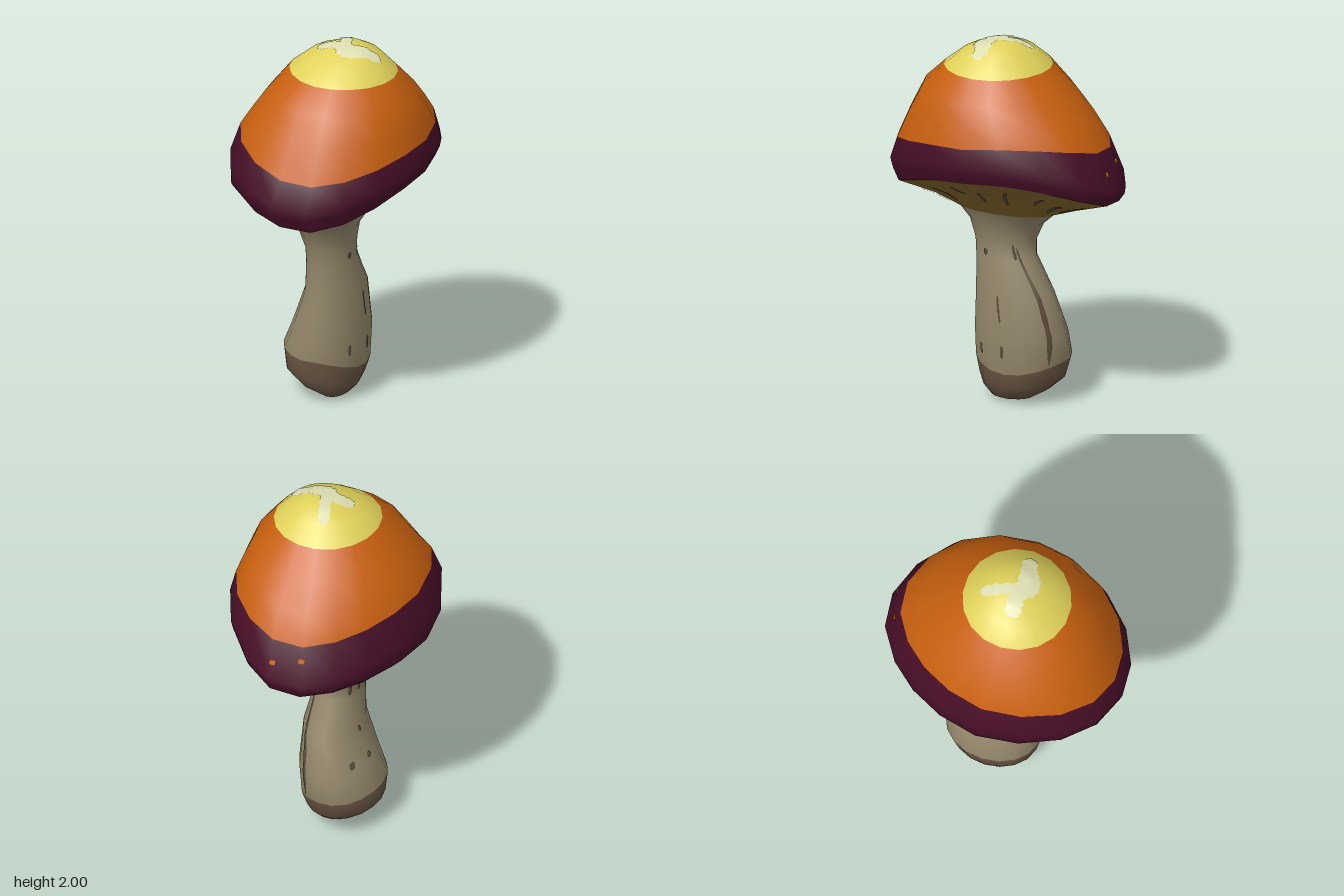
import * as THREE from 'three';
import { mergeVertices } from 'three/addons/utils/BufferGeometryUtils.js';

const mat = (name, color, side = THREE.FrontSide) => {
  const m = new THREE.MeshStandardMaterial({ color, side });
  m.name = name;
  return m;
};

const SIDES = 18;

// A ring lists reach and height towards +x, +z, -x, -z, then how far it follows the cap's lopsided rim.
function ringPoint([xp, yxp, zp, yzp, xm, yxm, zm, yzm, warp = 0], a) {
  const c = Math.cos(a), s = Math.sin(a), diag = Math.sin(2 * a);
  const bulge = diag < 0 ? (c < 0 ? 0.04 : 0) : (c < 0 ? -0.07 : -0.01);
  const k = 1 + warp * bulge * Math.abs(diag);
  const lift = warp * 0.045 * Math.max(0, -diag);
  const y = c * c * (c > 0 ? yxp : yxm) + s * s * (s > 0 ? yzp : yzm) + lift;
  return [(xp - xm) / 2 + (k * c * (xp + xm)) / 2, y, (zp - zm) / 2 + (k * s * (zp + zm)) / 2];
}

// Skin over rings from top to bottom; bands give [number of strips, material].
function loft(name, rings, bands) {
  const pos = [], index = [];
  for (const ring of rings)
    for (let j = 0; j < SIDES; j++) pos.push(...ringPoint(ring, (j / SIDES) * Math.PI * 2));
  for (let i = 0; i < rings.length - 1; i++)
    for (let j = 0; j < SIDES; j++) {
      const n = (j + 1) % SIDES;
      const a = i * SIDES + j, b = i * SIDES + n, c = a + SIDES, d = b + SIDES;
      index.push(a, b, c, b, d, c);
    }
  let geo = new THREE.BufferGeometry();
  geo.setAttribute('position', new THREE.Float32BufferAttribute(pos, 3));
  geo.setIndex(index);
  geo = mergeVertices(geo, 1e-5);
  geo.computeVertexNormals();
  let start = 0;
  bands.forEach(([strips], i) => {
    geo.addGroup(start, strips * SIDES * 6, i);
    start += strips * SIDES * 6;
  });
  const mesh = new THREE.Mesh(geo, bands.map((b) => b[1]));
  mesh.name = name;
  return mesh;
}

// A rounded streak drawn along 2D points and laid on a mesh; toRay turns 2D into [origin, direction].
function streak(name, target, points, width, material, toRay) {
  const curve = new THREE.SplineCurve(points.map((p) => new THREE.Vector2(...p)));
  const caster = new THREE.Raycaster();
  const N = 14, pos = [], index = [];
  for (let i = 0; i <= N; i++) {
    const t = i / N, p = curve.getPoint(t), d = curve.getTangent(t);
    const w = width * Math.pow(Math.max(0.02, 1 - (2 * t - 1) ** 4), 0.5) * (1 + 0.15 * Math.sin(i * 2.3));
    for (const side of [-1, 0, 1]) {
      const [o, dir] = toRay(p.x - d.y * w * side, p.y + d.x * w * side);
      caster.set(o, dir);
      const hit = caster.intersectObject(target)[0];
      if (!hit) return new THREE.Group();
      pos.push(...hit.point.addScaledVector(hit.face.normal, 0.005).toArray());
    }
    if (i < N)
      for (const k of [0, 1]) {
        const a = i * 3 + k;
        index.push(a, a + 1, a + 3, a + 1, a + 4, a + 3);
      }
  }
  const geo = new THREE.BufferGeometry();
  geo.setAttribute('position', new THREE.Float32BufferAttribute(pos, 3));
  geo.setIndex(index);
  geo.computeVertexNormals();
  // keep the normals facing the viewer's side of the ray
  const [, dir] = toRay(...points[0]);
  const n = geo.attributes.normal;
  if (new THREE.Vector3().fromBufferAttribute(n, 22).dot(dir) > 0) {
    geo.setIndex(index.reverse());
    geo.computeVertexNormals();
  }
  const mesh = new THREE.Mesh(geo, material);
  mesh.name = name;
  return mesh;
}

export function createModel() {
  const yellow = mat('crownYellow', 0xe0d25a);
  const orange = mat('capOrange', 0xc8600f);
  const purple = mat('rimPurple', 0x470e27);
  const olive = mat('gillOlive', 0x80642a);
  const tan = mat('stemTan', 0x93866a);
  const brown = mat('baseBrown', 0x685442);
  const cream = mat('patchCream', 0xdedeb2, THREE.DoubleSide);
  const dark = mat('streakBrown', 0x5c4c3c, THREE.DoubleSide);

  const rim = [0.49, 1.33, 0.62, 1.15, 0.47, 1.2, 0.635, 1.17, 1];
  const neck = [0.175, 1.07, 0.3, 1.05, 0.24, 1.07, 0.25, 1.05];

  const cap = loft('cap', [
    [0.06, 2, 0.02, 2, -0.06, 2, -0.02, 2],
    [0.16, 1.995, 0.12, 1.985, 0.03, 1.99, 0.07, 1.995],
    [0.25, 1.95, 0.24, 1.93, 0.14, 1.95, 0.15, 1.955],
    [0.335, 1.855, 0.33, 1.86, 0.235, 1.875, 0.245, 1.865],
    [0.43, 1.73, 0.45, 1.75, 0.36, 1.72, 0.37, 1.73, 0.3],
    [0.47, 1.63, 0.54, 1.58, 0.42, 1.63, 0.48, 1.6, 0.6],
    [0.505, 1.52, 0.62, 1.41, 0.475, 1.535, 0.585, 1.46, 1],
    [0.525, 1.43, 0.67, 1.28, 0.53, 1.38, 0.665, 1.25, 1],
    [0.515, 1.38, 0.655, 1.22, 0.53, 1.26, 0.655, 1.205, 1],
    rim,
  ], [[3, yellow], [3, orange], [3, purple]]);

  const gills = loft('gills', [
    rim,
    [0.3, 1.21, 0.43, 1.095, 0.33, 1.13, 0.42, 1.105, 0.5],
    neck,
  ], [[2, olive]]);

  const stem = loft('stem', [
    neck,
    [0.12, 0.98, 0.245, 0.98, 0.19, 0.97, 0.17, 0.98],
    [0.106, 0.88, 0.208, 0.88, 0.155, 0.86, 0.132, 0.89],
    [0.105, 0.79, 0.203, 0.79, 0.15, 0.79, 0.135, 0.8],
    [0.138, 0.62, 0.2, 0.62, 0.17, 0.61, 0.24, 0.61],
    [0.152, 0.38, 0.217, 0.4, 0.245, 0.41, 0.3, 0.38],
    [0.143, 0.18, 0.222, 0.25, 0.3, 0.275, 0.3, 0.24],
    [0.118, 0.1, 0.205, 0.14, 0.285, 0.155, 0.265, 0.13],
    [0.1, 0.06, 0.17, 0.07, 0.2, 0.08, 0.2, 0.07],
    [0.06, 0.02, 0.11, 0.02, 0.08, 0.03, 0.12, 0.025],
    [0.01, 0, 0, 0, -0.01, 0, 0, 0],
  ], [[6, tan], [4, brown]]);

  const group = new THREE.Group();
  group.name = 'mushroom';
  group.add(cap, gills, stem);

  // three-lobed pale patch on the crown
  const down = (x, z) => [new THREE.Vector3(x, 3, z), new THREE.Vector3(0, -1, 0)];
  [
    [[0, -0.14], [0.03, -0.05], [0.08, 0.09]],
    [[-0.09, 0.06], [0, 0.05], [0.13, 0.08]],
    [[0.02, 0.06], [0.14, 0.07], [0.26, 0.05]],
    [[0.04, 0.08], [0.1, 0.105], [0.17, 0.08]],
  ].forEach((p, i) => group.add(streak('crownPatch', cap, p, i ? 0.042 : 0.03, cream, down)));

  // two orange specks on the back of the rim
  const fromBack = (x, y) => [new THREE.Vector3(x, y, -2), new THREE.Vector3(0, 0, 1)];
  for (const [x, y] of [[-0.07, 1.39], [0.08, 1.36]])
    group.add(streak('rimSpeck', cap, [[x - 0.015, y], [x + 0.015, y]], 0.012, orange, fromBack));

  // radial streaks under the cap
  const up = (x, z) => [new THREE.Vector3(x, 0.5, z), new THREE.Vector3(0, 1, 0)];
  for (let i = 0; i < 18; i++) {
    const a = (i / 18) * Math.PI * 2 + 0.08 * Math.sin(i * 5);
    const near = 0.53 + 0.08 * (i % 3 === 1), far = 0.72 + 0.12 * Math.abs(Math.sin(i * 1.9));
    const at = (f, da) => [0.49 * f * Math.cos(a + da), 0.62 * f * Math.sin(a + da)];
    group.add(streak('gillStreak', gills, [at(near, 0), at((near + far) / 2, 0.03), at(far, 0)], 0.01, dark, up));
  }

  // marks around the stem, as [angle in degrees, height]
  const inward = (arc, y) => {
    const a = arc / 0.2, d = new THREE.Vector3(Math.cos(a), 0, Math.sin(a));
    return [d.clone().multiplyScalar(2).setY(y), d.negate()];
  };
  [
    [0.016, [[38, 0.84], [46, 0.82]]],
    [0.013, [[-35, 0.88], [-45, 0.8]]],
    [0.009, [[0, 0.61], [-2, 0.55], [-8, 0.46]]],
    [0.012, [[-12, 0.34], [-12, 0.27]]],
    [0.012, [[45, 0.33], [45, 0.27]]],
    [0.01, [[-45, 0.87], [-62, 0.75], [-72, 0.6], [-78, 0.42], [-80, 0.24]]],
    [0.013, [[-150, 0.88], [-148, 0.82]]],
    [0.012, [[-172, 0.89], [-174, 0.83]]],
    [0.011, [[-160, 0.62], [-162, 0.59]]],
    [0.011, [[-165, 0.47], [-163, 0.44]]],
    [0.012, [[-135, 0.47], [-134, 0.43]]],
  ].forEach(([w, pts]) => {
    const arcs = pts.map(([deg, y]) => [THREE.MathUtils.degToRad(deg) * 0.2, y]);
    group.add(streak('stemMark', stem, arcs, w, dark, inward));
  });

  return group;
}
